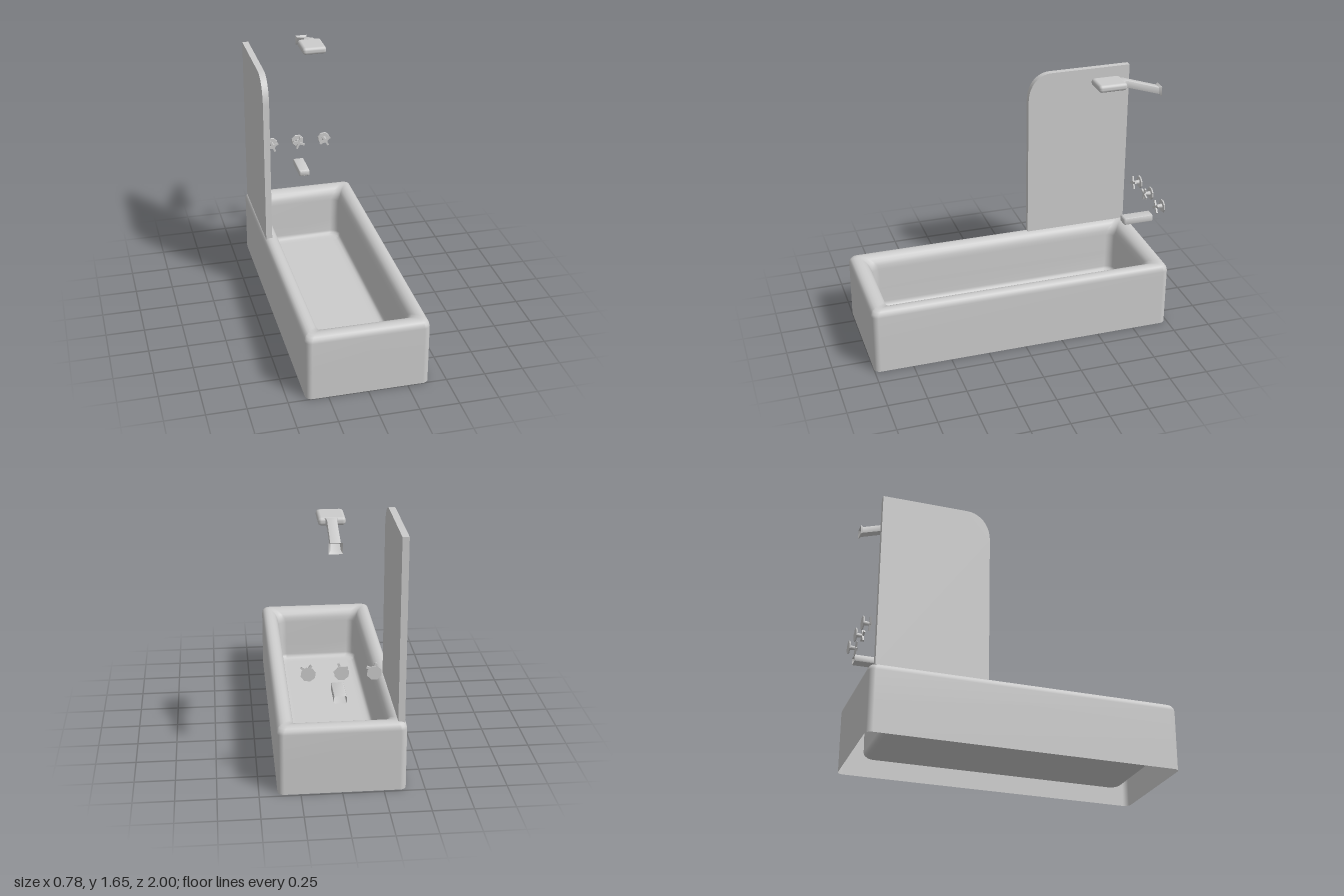
import * as THREE from 'three';
import { toCreasedNormals } from 'three/addons/utils/BufferGeometryUtils.js';
import { RoundedBoxGeometry } from 'three/addons/geometries/RoundedBoxGeometry.js';

const material = new THREE.MeshStandardMaterial({ color: 0xcccccc, side: THREE.DoubleSide });

function part(name, geometry, x = 0, y = 0, z = 0) {
  const mesh = new THREE.Mesh(geometry, material);
  mesh.name = name;
  mesh.position.set(x, y, z);
  return mesh;
}

// Counter-clockwise outline of a rounded rectangle, as [u, v] pairs
function roundedRect(hu, hv, r, seg) {
  const pts = [];
  [[1, 1], [-1, 1], [-1, -1], [1, -1]].forEach(([su, sv], k) => {
    for (let i = 0; i <= seg; i++) {
      const a = (k + i / seg) * Math.PI / 2;
      pts.push([su * (hu - r) + r * Math.cos(a), sv * (hv - r) + r * Math.sin(a)]);
    }
  });
  return pts;
}

// Skin over equal-sized rings: open at the first ring, capped at the last
function loft(rings) {
  const n = rings[0].length, pos = rings.flat(2), index = [];
  for (let i = 0; i < rings.length - 1; i++) {
    for (let j = 0; j < n; j++) {
      const a = i * n + j, b = i * n + (j + 1) % n;
      index.push(a, b, b + n, a, b + n, a + n);
    }
  }
  const last = (rings.length - 1) * n, centre = rings.length * n;
  const end = rings[rings.length - 1];
  pos.push(...[0, 1, 2].map(k => end.reduce((s, p) => s + p[k], 0) / n));
  for (let j = 0; j < n; j++) index.push(last + j, last + (j + 1) % n, centre);
  const g = new THREE.BufferGeometry();
  g.setAttribute('position', new THREE.Float32BufferAttribute(pos, 3));
  g.setIndex(index);
  g.computeVertexNormals();
  return g;
}

// Rectangular bar along z; each section is [z, centre y, width, height, corner radius]
function bar(sections) {
  return toCreasedNormals(loft(sections.map(([z, cy, w, h, r]) =>
    roundedRect(w / 2, h / 2, r, 2).map(([u, v]) => [u, v + cy, z]))), 0.6);
}

// Tub: one shell from the outer skirt over the rim and down to the basin floor
function makeTub() {
  const profile = [ // inset, height, corner radius
    [0, 0, 0.04], [0, 0.2, 0.04], [0, 0.395, 0.04], [0.004, 0.415, 0.04], [0.013, 0.43, 0.04],
    [0.028, 0.438, 0.035], [0.045, 0.44, 0.03], [0.065, 0.436, 0.03], [0.085, 0.425, 0.035],
    [0.1, 0.405, 0.045], [0.107, 0.38, 0.055], [0.109, 0.35, 0.06], [0.11, 0.2, 0.06],
    [0.111, 0.1, 0.06], [0.115, 0.084, 0.06], [0.124, 0.073, 0.06], [0.14, 0.068, 0.05],
    [0.17, 0.067, 0.04],
  ];
  return loft(profile.map(([d, y, r]) =>
    roundedRect(0.388 - d, 0.9935 - d * 1.15, r, 6).map(([u, v]) => [u, y, -v])));
}

// Upright screen with its top front corner rounded
function makeScreen() {
  const s = new THREE.Shape();
  s.moveTo(0.948, 0.43);
  s.lineTo(0.948, 1.585);
  s.lineTo(0.4, 1.585);
  s.bezierCurveTo(0.31, 1.585, 0.245, 1.51, 0.245, 1.4);
  s.lineTo(0.245, 0.43);
  s.closePath();
  const g = new THREE.ExtrudeGeometry(s, { depth: 0.041, bevelEnabled: false, curveSegments: 10 });
  g.rotateY(Math.PI / 2); // outline x becomes -z, depth becomes +x
  return toCreasedNormals(g, 0.5);
}

// Tap: wall plate, stem and cross handle
function makeTap(x, y, angle) {
  const tap = new THREE.Group();
  tap.name = 'tap';
  const plate = new THREE.CylinderGeometry(0.042, 0.045, 0.008, 8).rotateX(Math.PI / 2);
  const stem = new THREE.CylinderGeometry(0.011, 0.016, 0.048, 8).rotateX(Math.PI / 2);
  tap.add(part('wallPlate', toCreasedNormals(plate, 0.5), 0, 0, -0.995));
  tap.add(part('tapStem', toCreasedNormals(stem, 0.9), 0, 0, -0.972));
  for (let i = 0; i < 2; i++) {
    const arm = part('crossHandle', new THREE.BoxGeometry(0.088, 0.014, 0.011), 0, 0, -0.95);
    arm.rotation.z = i * Math.PI / 2;
    tap.add(arm);
  }
  tap.position.set(x, y, 0);
  tap.rotation.z = angle;
  return tap;
}

export function createModel() {
  const model = new THREE.Group();
  model.name = 'bathtub';
  model.add(part('tub', makeTub(), 0, 0, 0.0065));
  model.add(part('screen', makeScreen(), -0.375, 0, 0));

  // Taps in a row on the wall
  [[-0.18, 0.783, 0.4], [0.01, 0.788, -0.35], [0.203, 0.788, 0.55]]
    .forEach(([x, y, a]) => model.add(makeTap(x, y, a)));

  // Spout, open at the wall, with an outlet under its tip
  const spout = new THREE.Group();
  spout.name = 'spout';
  spout.add(part('spoutBody', bar([
    [-1, 0.619, 0.076, 0.046, 0.008], [-0.806, 0.619, 0.076, 0.046, 0.008],
    [-0.798, 0.619, 0.066, 0.036, 0.007], [-0.795, 0.619, 0.056, 0.026, 0.006],
  ]), 0.016));
  spout.add(part('spoutOutlet', new THREE.BoxGeometry(0.045, 0.01, 0.04), 0.016, 0.595, -0.835));
  model.add(spout);

  // Shower arm flaring at the wall and into its flat head
  const shower = new THREE.Group();
  shower.name = 'shower';
  shower.add(part('showerArm', bar([
    [-1, 1.547, 0.08, 0.066, 0.002], [-0.984, 1.55, 0.06, 0.044, 0.002],
    [-0.775, 1.617, 0.057, 0.046, 0.002], [-0.755, 1.622, 0.064, 0.046, 0.002],
    [-0.735, 1.622, 0.085, 0.042, 0.002],
  ]), 0.045));
  shower.add(part('showerHead', new RoundedBoxGeometry(0.16, 0.049, 0.19, 2, 0.02), 0.042, 1.622, -0.655));
  model.add(shower);
  return model;
}
